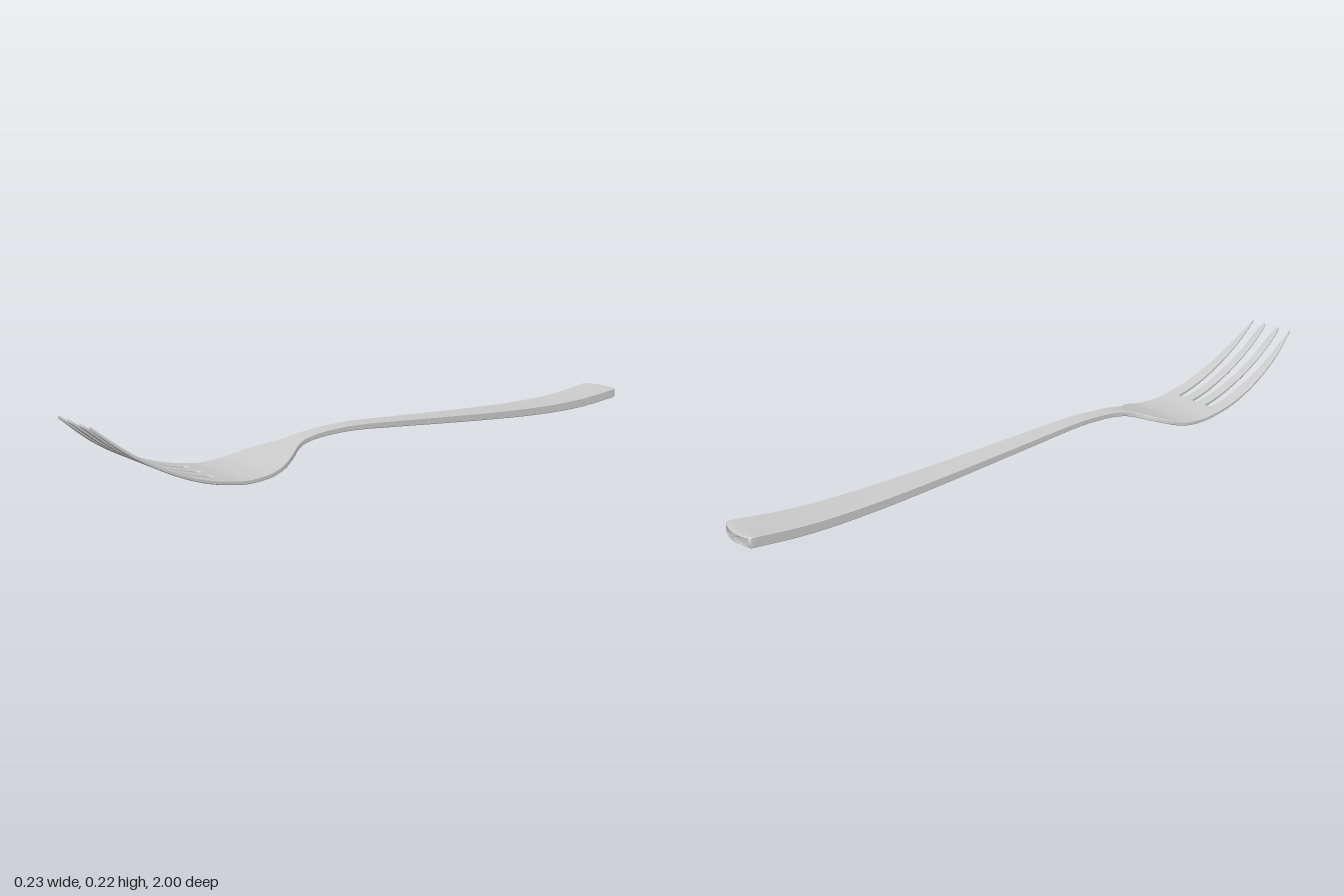
import * as THREE from 'three';
import { toCreasedNormals } from 'three/addons/utils/BufferGeometryUtils.js';

// Smooth curve through [z, value] pairs (cubic Hermite)
function curve(pts) {
  const slope = (i) => {
    const a = pts[Math.max(i - 1, 0)], b = pts[Math.min(i + 1, pts.length - 1)];
    return (b[1] - a[1]) / (b[0] - a[0]);
  };
  return (z) => {
    let i = 0;
    while (i < pts.length - 2 && z > pts[i + 1][0]) i++;
    const [z0, v0] = pts[i], [z1, v1] = pts[i + 1], d = z1 - z0;
    const t = THREE.MathUtils.clamp((z - z0) / d, 0, 1), t2 = t * t, t3 = t2 * t;
    return (2 * t3 - 3 * t2 + 1) * v0 + (t3 - 2 * t2 + t) * d * slope(i)
      + (3 * t2 - 2 * t3) * v1 + (t3 - t2) * d * slope(i + 1);
  };
}

// Side profile, thickness and plan outline along the length
const height = curve([[-1, 0.03], [-0.8, 0.0155], [-0.6, 0.0185], [-0.4, 0.031], [-0.2, 0.047],
  [0, 0.064], [0.1, 0.072], [0.18, 0.0745], [0.3, 0.067], [0.4, 0.039], [0.48, 0.017], [0.55, 0.011],
  [0.6, 0.0145], [0.7, 0.037], [0.8, 0.078], [0.9, 0.137], [1, 0.218]]);
const thickness = curve([[-1, 0.03], [-0.8, 0.029], [-0.4, 0.024], [0, 0.019], [0.3, 0.015],
  [0.6, 0.012], [0.8, 0.01], [1, 0.007]]);
const halfWidth = curve([[-1, 0.067], [-0.8, 0.0595], [-0.4, 0.045], [0, 0.031], [0.2, 0.025],
  [0.29, 0.027], [0.34, 0.038], [0.4, 0.08], [0.44, 0.102], [0.5, 0.115], [0.6, 0.117], [0.7, 0.117],
  [0.8, 0.112], [0.9, 0.102], [1, 0.085]]);

const ACROSS = 6;

// Bevelled strip between two edges: edges(z) -> [x0, x1, thickness scale]
function strip(zs, edges, capStart, capEnd) {
  const pos = [], idx = [], n = 2 * (ACROSS + 1) + 4;
  const mids = [];
  for (const z of zs) {
    const [x0, x1, scale = 1] = edges(z);
    const h = thickness(z) * scale / 2, w = (x1 - x0) / 2, cx = (x0 + x1) / 2;
    const b = Math.min(0.002, h * 0.4, w * 0.4);
    const dy = (height(z + 0.002) - height(z - 0.002)) / 0.004;
    const len = Math.hypot(1, dy), y = height(z);
    const bow = 0.013 * THREE.MathUtils.clamp((-0.9 - z) / 0.1, 0, 1); // bowed handle end
    const add = (x, o) => {
      const u = (x - cx) / w;
      pos.push(x, y + o / len, z - o * dy / len + bow * u * u);
    };
    for (let i = 0; i <= ACROSS; i++) add(cx + (w - b) * (2 * i / ACROSS - 1), -h);
    add(x1, b - h); add(x1, h - b);
    for (let i = 0; i <= ACROSS; i++) add(cx - (w - b) * (2 * i / ACROSS - 1), h);
    add(x0, h - b); add(x0, b - h);
    mids.push([cx, y, z]);
  }
  for (let r = 0; r < zs.length - 1; r++) {
    for (let j = 0; j < n; j++) {
      const a = r * n + j, b = r * n + (j + 1) % n;
      idx.push(a, b, a + n, b, b + n, a + n);
    }
  }
  const cap = (row, flip) => {
    const c = pos.length / 3;
    pos.push(...mids[row]);
    for (let j = 0; j < n; j++) {
      const a = row * n + j, b = row * n + (j + 1) % n;
      idx.push(c, flip ? b : a, flip ? a : b);
    }
  };
  if (capStart) cap(0, true);
  if (capEnd) cap(zs.length - 1, false);
  const g = new THREE.BufferGeometry();
  g.setAttribute('position', new THREE.Float32BufferAttribute(pos, 3));
  g.setIndex(idx);
  return toCreasedNormals(g, 0.6);
}

const range = (a, b, n) => Array.from({ length: n + 1 }, (_, i) => a + (b - a) * i / n);

export function createModel() {
  const group = new THREE.Group();
  const material = new THREE.MeshStandardMaterial({ color: 0xcccccc });
  const addMesh = (name, geometry) => {
    const mesh = new THREE.Mesh(geometry, material);
    mesh.name = name;
    group.add(mesh);
  };

  const NECK = 0.3, ROOT = 0.64;

  // Handle, with a softly rounded end
  addMesh('handle', strip([-1, -0.998, -0.994, -0.988, ...range(-0.97, NECK, 64)], (z) => {
    const k = Math.sqrt(1 - Math.max(0, (-0.988 - z) / 0.012) ** 2 * 0.4);
    const w = halfWidth(z) * (0.75 + 0.25 * k);
    return [-w, w, k];
  }, true, false));

  // Head between the neck and the slots
  addMesh('head', strip(range(NECK, ROOT, 40), (z) => [-halfWidth(z), halfWidth(z)], false, false));

  // Tines: slot edges start from rounded roots, tips taper to rounded points
  const TAPER = 0.945;
  const tineZ = [...[0, 0.0004, 0.0015, 0.003, 0.005, 0.008, 0.0125].map((d) => ROOT + d),
    ...range(0.67, TAPER, 24), ...range(0, Math.PI / 2, 12).slice(1).map((a) => TAPER + (1 - TAPER) * Math.sin(a))];
  const slotHalf = (z, start, end) => {
    const round = Math.sqrt(1 - Math.max(0, 1 - (z - ROOT) / 0.0125) ** 2);
    return round * THREE.MathUtils.lerp(start, end, (z - ROOT) / (1 - ROOT));
  };
  const taper = (z, a, b, tip) => {
    const k = 0.12 + 0.88 * Math.sqrt(Math.max(0, 1 - Math.max(0, (z - TAPER) / (1 - TAPER)) ** 2));
    return [tip + (a - tip) * k, tip + (b - tip) * k];
  };
  const innerTine = (z) => taper(z, slotHalf(z, 0.012, 0.019), 0.06 - slotHalf(z, 0.0135, 0.0185), 0.03);
  const outerTine = (z) => taper(z, 0.06 + slotHalf(z, 0.0135, 0.0175), halfWidth(z), 0.082);
  const mirror = (f) => (z) => { const [a, b] = f(z); return [-b, -a]; };

  addMesh('leftInnerTine', strip(tineZ, innerTine, false, true));
  addMesh('leftOuterTine', strip(tineZ, outerTine, false, true));
  addMesh('rightInnerTine', strip(tineZ, mirror(innerTine), false, true));
  addMesh('rightOuterTine', strip(tineZ, mirror(outerTine), false, true));
  return group;
}
